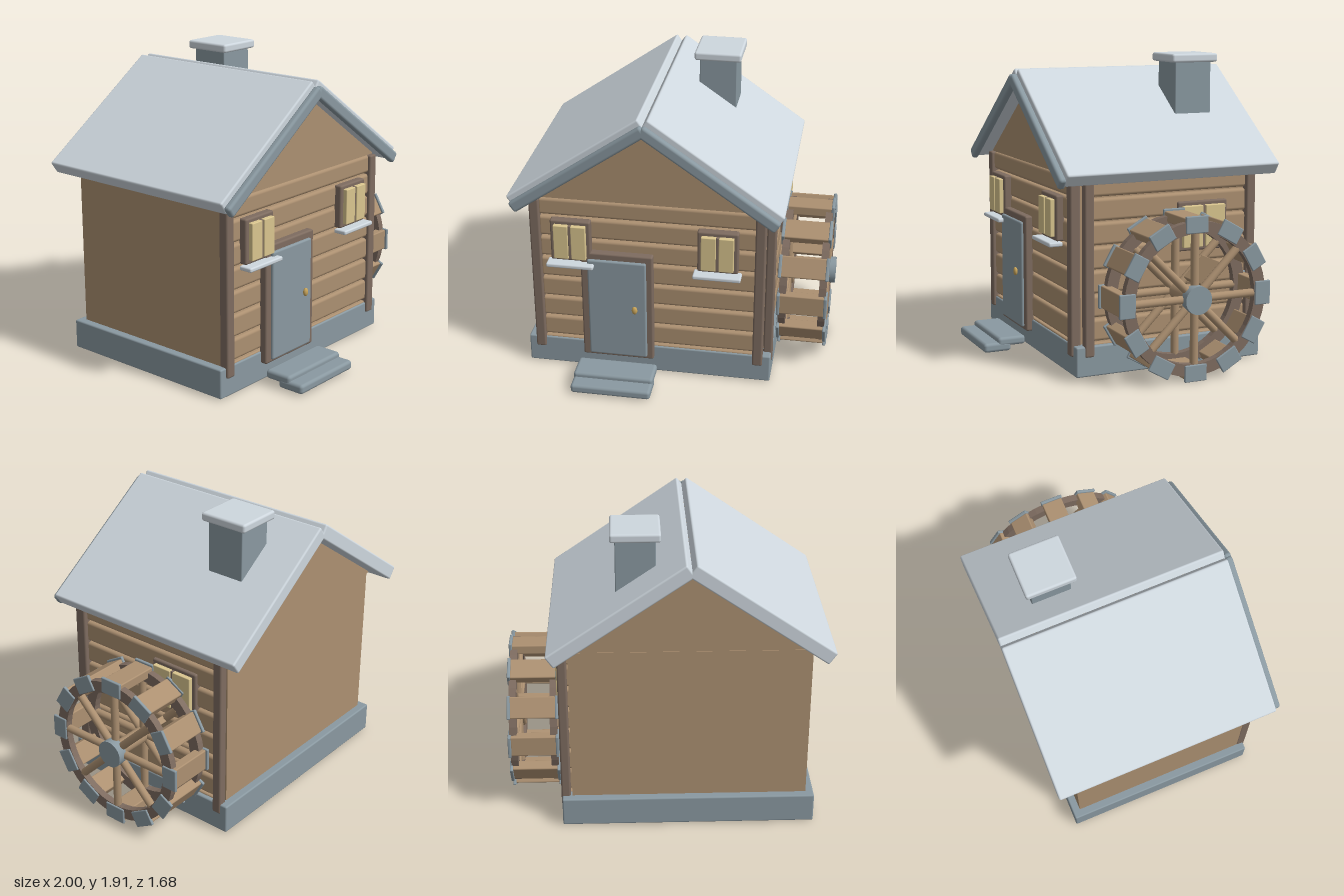
import * as THREE from 'three';
import { RoundedBoxGeometry } from 'three/addons/geometries/RoundedBoxGeometry.js';

const mat = (name, color) => new THREE.MeshStandardMaterial({ name, color });

export function createModel() {
  const stone = mat('stone grey', 0x8a99a1);
  const slate = mat('pale slate', 0xced7de);
  const wood = mat('plank wood', 0xac9071);
  const timber = mat('dark timber', 0x7e6c60);
  const glass = mat('warm glass', 0xdac68f);
  const brass = mat('brass', 0xc9a55a);

  const model = new THREE.Group();
  model.name = 'watermill';

  const add = (name, geometry, material, parent = model) => {
    const mesh = new THREE.Mesh(geometry, material);
    mesh.name = name;
    parent.add(mesh);
    return mesh;
  };
  // Box given by its limits, with softened edges when r > 0
  const box = (name, material, [x0, x1], [y0, y1], [z0, z1], r = 0.01, parent = model) => {
    const size = [x1 - x0, y1 - y0, z1 - z0];
    const geometry = r ? new RoundedBoxGeometry(...size, 2, r) : new THREE.BoxGeometry(...size);
    const mesh = add(name, geometry, material, parent);
    mesh.position.set((x0 + x1) / 2, (y0 + y1) / 2, (z0 + z1) / 2);
    return mesh;
  };

  // Foundation and entrance steps
  box('foundation', stone, [-0.93, 0.642], [0.008, 0.195], [-0.75, 0.505]);
  box('lowerStep', stone, [-0.585, -0.075], [0.013, 0.073], [0.66, 0.84], 0.02);
  box('upperStep', stone, [-0.585, -0.075], [0.047, 0.104], [0.562, 0.745], 0.02);

  // Wall core
  box('walls', wood, [-0.88, 0.58], [0.15, 1.2], [-0.7, 0.465], 0);

  // Gable prism under the roof
  const ridgeX = -0.147;
  const underRoof = x => 1.775 - 0.695 * Math.abs(x - ridgeX);
  const gable = new THREE.Shape([
    [-0.885, 1.207], [0.59, 1.207], [0.59, underRoof(0.59)],
    [ridgeX, underRoof(ridgeX)], [-0.885, underRoof(-0.885)],
  ].map(p => new THREE.Vector2(...p)));
  add('gable', new THREE.ExtrudeGeometry(gable, { depth: 1.195, bevelEnabled: false }), wood).position.z = -0.71;

  // Rounded planks on the front and right walls
  for (let i = 0; i < 7; i++) {
    const y0 = 0.216 + 0.1465 * i;
    const y = [y0, Math.min(y0 + 0.136, 1.21)];
    box('frontPlank', wood, [-0.83, 0.55], y, [0.44, 0.5], 0.02);
    box('sidePlank', wood, [0.56, 0.62], y, [-0.66, 0.41], 0.02);
  }
  box('frontPlankBottom', wood, [-0.83, 0.55], [0.15, 0.205], [0.44, 0.495], 0.01);
  box('sidePlankBottom', wood, [0.56, 0.615], [0.15, 0.205], [-0.66, 0.41], 0.01);

  // Corner posts
  for (const x of [-0.882, 0.527]) box('frontPost', timber, [x, x + 0.065], [0.127, 1.21], [0.455, 0.52], 0.012);
  for (const z of [-0.705, 0.388]) box('sidePost', timber, [0.59, 0.648], [0.127, 1.21], [z, z + 0.062], 0.012);

  // Roof slabs and front bargeboards, sloping down from the ridge
  const pitch = Math.atan(0.695);
  for (const side of [1, -1]) {
    const half = new THREE.Group();
    half.name = side > 0 ? 'leftRoof' : 'rightRoof';
    half.position.set(ridgeX + side * 0.03, 1.818, 0);
    half.rotation.z = -side * pitch;
    const span = side > 0 ? [0, 1.006] : [-1.006, 0];
    box('roofSlab', slate, span, [-0.09, 0], [-0.84, 0.582], 0.012, half);
    box('bargeboard', stone, span, [-0.11, -0.035], [0.575, 0.622], 0.018, half);
    model.add(half);
  }

  // Chimney
  box('chimney', stone, [0.052, 0.292], [1.4, 1.87], [-0.57, -0.32], 0.006);
  box('chimneyCap', slate, [0.022, 0.322], [1.855, 1.91], [-0.605, -0.287], 0.015);

  // Door
  box('doorFrame', timber, [-0.56, -0.103], [0.12, 0.875], [0.49, 0.545], 0.012);
  box('door', stone, [-0.515, -0.143], [0.14, 0.832], [0.5, 0.562], 0.012);
  const handle = add('doorHandle', new THREE.SphereGeometry(1, 16, 12), brass);
  handle.scale.set(0.018, 0.027, 0.014);
  handle.position.set(-0.215, 0.5, 0.575);

  // Windows, built facing +z around their own centre
  const makeWindow = (name, w, h, hasSill) => {
    const win = new THREE.Group();
    win.name = name;
    box('windowFrame', timber, [-w / 2, w / 2], [-h / 2, h / 2], [-0.03, 0.025], 0.012, win);
    const p = w / 2 - 0.026, q = h / 2 - 0.025;
    for (const x of [[0.009, p], [-p, -0.009]]) box('windowPane', glass, x, [-q, q], [0.01, 0.053], 0.005, win);
    box('windowMullion', timber, [-0.009, 0.009], [-q, q], [0, 0.045], 0.003, win);
    if (hasSill) box('windowSill', slate, [-w / 2 - 0.022, w / 2 + 0.022], [-0.169, -0.141], [-0.01, 0.08], 0.01, win);
    model.add(win);
    return win;
  };
  for (const x of [-0.618, 0.302]) makeWindow('frontWindow', 0.254, 0.28, true).position.set(x, 0.947, 0.52);
  const sideWindow = makeWindow('sideWindow', 0.338, 0.308, false);
  sideWindow.position.set(0.615, 0.878, -0.338);
  sideWindow.rotation.y = Math.PI / 2;

  // Water wheel turning about the x axis
  const wheel = new THREE.Group();
  wheel.name = 'waterWheel';
  wheel.position.set(0, 0.502, -0.127);
  model.add(wheel);

  const ringShape = new THREE.Shape().absarc(0, 0, 0.468, 0, Math.PI * 2);
  ringShape.holes.push(new THREE.Path().absarc(0, 0, 0.395, 0, Math.PI * 2, true));
  const ringGeometry = new THREE.ExtrudeGeometry(ringShape, { depth: 0.045, bevelEnabled: false, curveSegments: 24 });
  ringGeometry.rotateY(Math.PI / 2);
  for (const x of [0.665, 0.917]) {
    add('wheelRim', ringGeometry, timber, wheel).position.x = x;
    // Eight round spokes per rim
    for (let i = 0; i < 8; i++) {
      const arm = new THREE.Group();
      arm.name = 'spokeArm';
      arm.rotation.x = i * Math.PI / 4;
      arm.position.x = x + 0.022;
      add('spoke', new THREE.CylinderGeometry(0.025, 0.025, 0.4, 12), wood, arm).position.y = 0.2;
      wheel.add(arm);
    }
  }

  // Twelve paddles with stone end blocks
  for (let i = 0; i < 12; i++) {
    const arm = new THREE.Group();
    arm.name = 'paddleArm';
    arm.rotation.x = i * Math.PI / 6;
    box('paddle', wood, [0.668, 0.957], [0.425, 0.487], [-0.068, 0.068], 0.008, arm);
    for (const x of [0.655, 0.952]) box('paddleBlock', stone, [x, x + 0.02], [0.397, 0.5], [-0.073, 0.073], 0.006, arm);
    wheel.add(arm);
  }

  // Inner board bracing one pair of diagonal spokes
  const brace = new THREE.Group();
  brace.name = 'spokeBrace';
  brace.rotation.x = -Math.PI / 4;
  box('braceBoard', wood, [0.7, 0.93], [0.09, 0.27], [-0.022, 0.022], 0.006, brace);
  wheel.add(brace);

  // Axle and hub
  const axle = add('axle', new THREE.CylinderGeometry(0.05, 0.05, 0.4, 20), wood, wheel);
  axle.position.x = 0.77;
  const hub = add('hub', new THREE.CylinderGeometry(0.086, 0.086, 0.06, 28), stone, wheel);
  hub.position.x = 0.97;
  for (const part of [axle, hub]) part.rotation.z = Math.PI / 2;

  return model;
}
